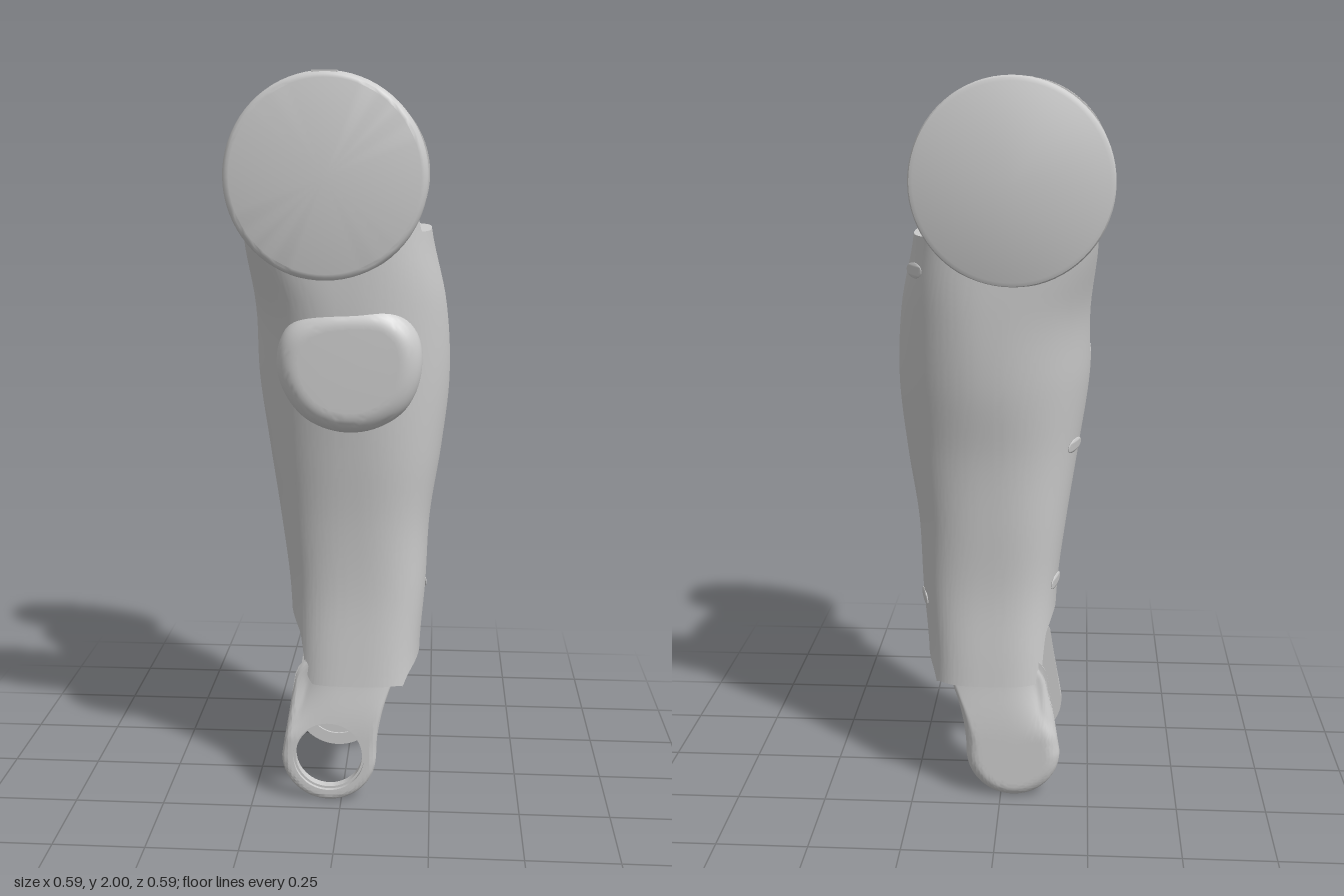
import * as THREE from 'three';
import { toCreasedNormals } from 'three/addons/utils/BufferGeometryUtils.js';

const shellGrey = new THREE.MeshStandardMaterial({ color: 0xcccccc });
shellGrey.name = 'shell grey';
const { smoothstep, clamp, lerp } = THREE.MathUtils;

// Limb sections every 0.2 units of height from y = 0.2:
// xMin, xMax, zFront, zBack, squareness
const SECTIONS = [
  [-0.155, 0.22, 0.2, 0.21, 3.2], [-0.148, 0.215, 0.19, 0.205, 3.2], [-0.155, 0.23, 0.185, 0.2, 3],
  [-0.18, 0.24, 0.2, 0.215, 2.7], [-0.21, 0.27, 0.23, 0.235, 2.4], [-0.238, 0.29, 0.26, 0.27, 2.2],
  [-0.245, 0.278, 0.28, 0.285, 2.5], [-0.275, 0.235, 0.287, 0.288, 3.6], [-0.295, 0.225, 0.287, 0.288, 4],
];

function sectionAt(y) {
  const f = clamp((y - 0.2) / 0.2, 0, 7.999), i = Math.floor(f), t = f - i;
  const row = (k) => SECTIONS[clamp(k, 0, 8)];
  return SECTIONS[0].map((_, c) => {
    const [p, q, r, s] = [row(i - 1)[c], row(i)[c], row(i + 1)[c], row(i + 2)[c]];
    return q + 0.5 * t * (r - p + t * (2 * p - 5 * q + 4 * r - s + t * (3 * (q - r) + s - p)));
  });
}

// Point on the rounded section; inside = true gives the inner wall
function shellPoint(angle, y, inside = false) {
  const [x0, x1, zf, zb, n] = sectionAt(y);
  const soft = (v) => Math.sign(v) * Math.abs(v) ** (2 / n);
  const c = soft(Math.cos(angle)), s = soft(Math.sin(angle));
  const depth = s > 0 ? zf : zb;
  let x = (x0 + x1) / 2 + ((x1 - x0) / 2 - (inside ? 0.032 : 0)) * c;
  let z = depth * s;
  if (inside) {
    // The wall thins out where it runs into the joint discs
    const thin = Math.max(Math.abs((depth - 0.03) * s), Math.min(Math.abs(z) - 0.002, 0.263));
    z = Math.sign(z) * lerp(Math.abs((depth - 0.03) * s), Math.max(thin, 0), smoothstep(y, 1.42, 1.5));
  }
  return new THREE.Vector3(x, y, z);
}

// Upper rim: forks toward the joint discs, with a deeper scoop on the -x side
function topRim(angle) {
  const p = shellPoint(angle, 1.6), a = Math.abs(p.z);
  const side = Math.cos(angle) > 0 ? 1.6 : 1.27 + 0.33 * smoothstep(a, 0.09, 0.21);
  const rise = p.z > 0 ? smoothstep(a, 0.205, 0.235) : smoothstep(a, 0.235, 0.262);
  return side + 0.14 * rise;
}

// Lower rim: an arch between the two lower prongs
function bottomRim(angle) {
  const a = Math.abs(shellPoint(angle, 0.4).z);
  const [crown, drop] = Math.cos(angle) > 0 ? [0.4, 0.07] : [0.53, 0.1];
  const t = clamp((a - 0.06) / 0.1, 0, 1);
  return lerp(crown - drop * (1 - Math.sqrt(1 - t * t)), 0.34, smoothstep(a, 0.145, 0.178));
}

// Closed cross-section loops of `ring` points, joined along `cols` steps
function loft(cols, ring, pointAt, flip = false) {
  const pos = [], index = [];
  for (let i = 0; i <= cols; i++) {
    for (let k = 0; k < ring; k++) {
      pos.push(...pointAt(i, k).toArray());
      if (i === cols) continue;
      const a = i * ring + k, d = i * ring + ((k + 1) % ring), b = a + ring, c = d + ring;
      index.push(...(flip ? [a, b, d, d, b, c] : [a, d, b, d, c, b]));
    }
  }
  const g = new THREE.BufferGeometry();
  g.setAttribute('position', new THREE.Float32BufferAttribute(pos, 3));
  g.setIndex(index);
  return g;
}

function halfShell(start) {
  const SEG = 110, ROWS = 40, ring = 2 * (ROWS + 1);
  return loft(SEG, ring, (i, k) => {
    const angle = start + (Math.PI * i) / SEG;
    const inside = k > ROWS, j = inside ? ring - 1 - k : k;
    return shellPoint(angle, lerp(bottomRim(angle), topRim(angle), j / ROWS), inside);
  });
}

// Turned part about a z axis; profile is [radius, z] pairs
function turned(profile) {
  return new THREE.LatheGeometry(profile.map((p) => new THREE.Vector2(...p)), 72).rotateX(Math.PI / 2);
}

function ringProfile(rIn, rOut, z0, z1) {
  return [[rIn, z0], [rOut, z0], [rOut, z1], [rIn, z1], [rIn, z0]];
}

// Lower prong: swept around its eye, flat at the eye and following the shell above
const EYE = { x: -0.035, y: 0.133, r: 0.133 };

function insideProng(x, y) {
  if (y < EYE.y) return Math.hypot(x - EYE.x, y - EYE.y) < EYE.r;
  const t = (y - EYE.y) / 0.266;
  const left = EYE.x - EYE.r + 0.042 * t, right = EYE.x + EYE.r + 0.07 * t * t;
  const cap = Math.sqrt(Math.max(0, 1 - (Math.max(0, y - 0.36) / 0.09) ** 2));
  return Math.abs(x - (left + right) / 2) < ((right - left) / 2) * cap;
}

function prong(dir, zIn, zOut, rIn, round) {
  const STEPS = 96, ROWS = 24, ring = 2 * (ROWS + 1);
  return loft(STEPS, ring, (i, k) => {
    const a = (i / STEPS) * Math.PI * 2, ca = Math.cos(a), sa = Math.sin(a);
    let R = 0, far = 0.5;
    for (let n = 0; n < 24; n++) {
      const mid = (R + far) / 2;
      if (insideProng(EYE.x + mid * ca, EYE.y + mid * sa)) R = mid; else far = mid;
    }
    const j = k > ROWS ? ring - 1 - k : k;
    const r = lerp(rIn, R, 1 - (1 - j / ROWS) ** 2);
    const x = EYE.x + r * ca, y = EYE.y + r * sa;
    if (k > ROWS) return new THREE.Vector3(x, y, dir * zIn);
    const [x0, x1, zf, zb, n] = sectionAt(y);
    const u = Math.min(1, Math.abs(x - (x0 + x1) / 2) / ((x1 - x0) / 2));
    const skin = (dir > 0 ? zf : zb) * (1 - u ** n) ** (1 / n) - 0.003;
    const up = smoothstep(y, 0.18, 0.36);
    const face = Math.max(lerp(zOut, Math.min(skin, zOut), up), zIn + lerp(0.035, 0.008, up));
    const e = clamp(1 - (R - r) / round, 0, 1);
    const z = face - 0.8 * round * (1 - Math.sqrt(1 - e * e));
    return new THREE.Vector3(x, y, dir * Math.max(z, zIn + 0.002));
  }, dir < 0);
}

export function createModel() {
  const model = new THREE.Group();
  model.name = 'limbShell';
  const add = (name, geometry, x = 0, y = 0, z = 0) => {
    const mesh = new THREE.Mesh(toCreasedNormals(geometry, 0.6), shellGrey);
    mesh.name = name;
    mesh.position.set(x, y, z);
    model.add(mesh);
    return mesh;
  };

  // Main hollow body in two halves
  add('frontShell', halfShell(0));
  add('backShell', halfShell(Math.PI));

  // Upper joint discs
  const jx = -0.034, jy = 1.739;
  add('frontJointDisc', turned([
    [0, 0.228], [0.15, 0.228], [0.15, 0.22], [0.261, 0.22], [0.261, 0.277],
    [0.258, 0.287], [0.251, 0.293], [0.243, 0.295], [0, 0.295],
  ]), jx, jy);
  add('backJointDisc', turned([
    [0, -0.295], [0.247, -0.295], [0.257, -0.291], [0.261, -0.282], [0.261, -0.25],
    [0.237, -0.25], [0.237, -0.261], [0.15, -0.261], [0.15, -0.25], [0.125, -0.25],
    [0.125, -0.26], [0.1, -0.26], [0.1, -0.276], [0, -0.276],
  ]), jx, jy);
  add('discTopTab', new THREE.BoxGeometry(0.065, 0.006, 0.015), jx, 1.997, 0.28);
  for (let i = 0; i < 28; i++) {
    const a = (i / 28) * Math.PI * 2;
    add('discStud', new THREE.CylinderGeometry(0.009, 0.009, 0.01, 12).rotateX(Math.PI / 2),
      jx + 0.195 * Math.cos(a), jy + 0.195 * Math.sin(a), 0.2235);
  }

  // Lower prongs: open ring in front, closed cap behind
  add('frontProng', prong(1, 0.16, 0.205, 0.1, 0.02));
  add('backProng', prong(-1, 0.17, 0.213, 0, 0.04));
  add('frontProngLip', turned(ringProfile(0.094, 0.106, 0.168, 0.194)), EYE.x, EYE.y);
  add('backProngLip', turned(ringProfile(0.094, 0.106, -0.18, -0.164)), EYE.x, EYE.y);

  // Rounded pad on the front
  const outline = [
    [-0.166, 1.265], [-0.148, 1.35], [-0.07, 1.4], [0.05, 1.415], [0.15, 1.405], [0.205, 1.35],
    [0.214, 1.24], [0.175, 1.14], [0.09, 1.085], [0, 1.077], [-0.09, 1.113], [-0.145, 1.185],
  ].map(([x, y]) => new THREE.Vector3(0.024 + (x - 0.024) * 0.69, 1.246 + (y - 1.246) * 0.65, 0));
  const loop = new THREE.CatmullRomCurve3(outline, true).getPoints(72).slice(0, -1);
  const padShape = new THREE.Shape(loop.map((p) => new THREE.Vector2(p.x, p.y)));
  add('frontPad', new THREE.ExtrudeGeometry(padShape, {
    depth: 0.03, bevelThickness: 0.055, bevelSize: 0.059, bevelSegments: 10,
  }), 0, 0, 0.204);

  // Round pocket behind the pad, notched at top and bottom
  const px = 0.005, py = 1.24;
  add('pocketBase', turned(ringProfile(0.165, 0.185, 0.135, 0.18)), px, py);
  for (const [from, to] of [[-1.34, 1.22], [1.68, 4.48]]) {
    const arc = new THREE.Shape();
    arc.absarc(0, 0, 0.185, from, to, false);
    arc.absarc(0, 0, 0.165, to, from, true);
    add('pocketWall', new THREE.ExtrudeGeometry(arc, { depth: 0.05, bevelEnabled: false, curveSegments: 36 }),
      px, py, 0.095);
  }

  // Small lens-shaped vents on the rear flanks
  const vents = [[1, 1.51, -0.2], [1, 0.57, -0.1], [-1, 1.02, -0.1], [-1, 0.62, -0.09]];
  for (const [side, y, z] of vents) {
    const [, , , zb, n] = sectionAt(y);
    const s = -((Math.abs(z) / zb) ** (n / 2));
    const angle = side > 0 ? Math.asin(s) : Math.PI - Math.asin(s);
    const p = shellPoint(angle, y);
    const du = shellPoint(angle + 0.01, y).sub(p), dv = shellPoint(angle, y + 0.01).sub(p);
    const vent = add('vent', new THREE.SphereGeometry(1, 24, 12).scale(0.052, 0.02, 0.005), p.x, p.y, p.z);
    vent.lookAt(p.clone().add(dv.cross(du).normalize()));
  }
  return model;
}
